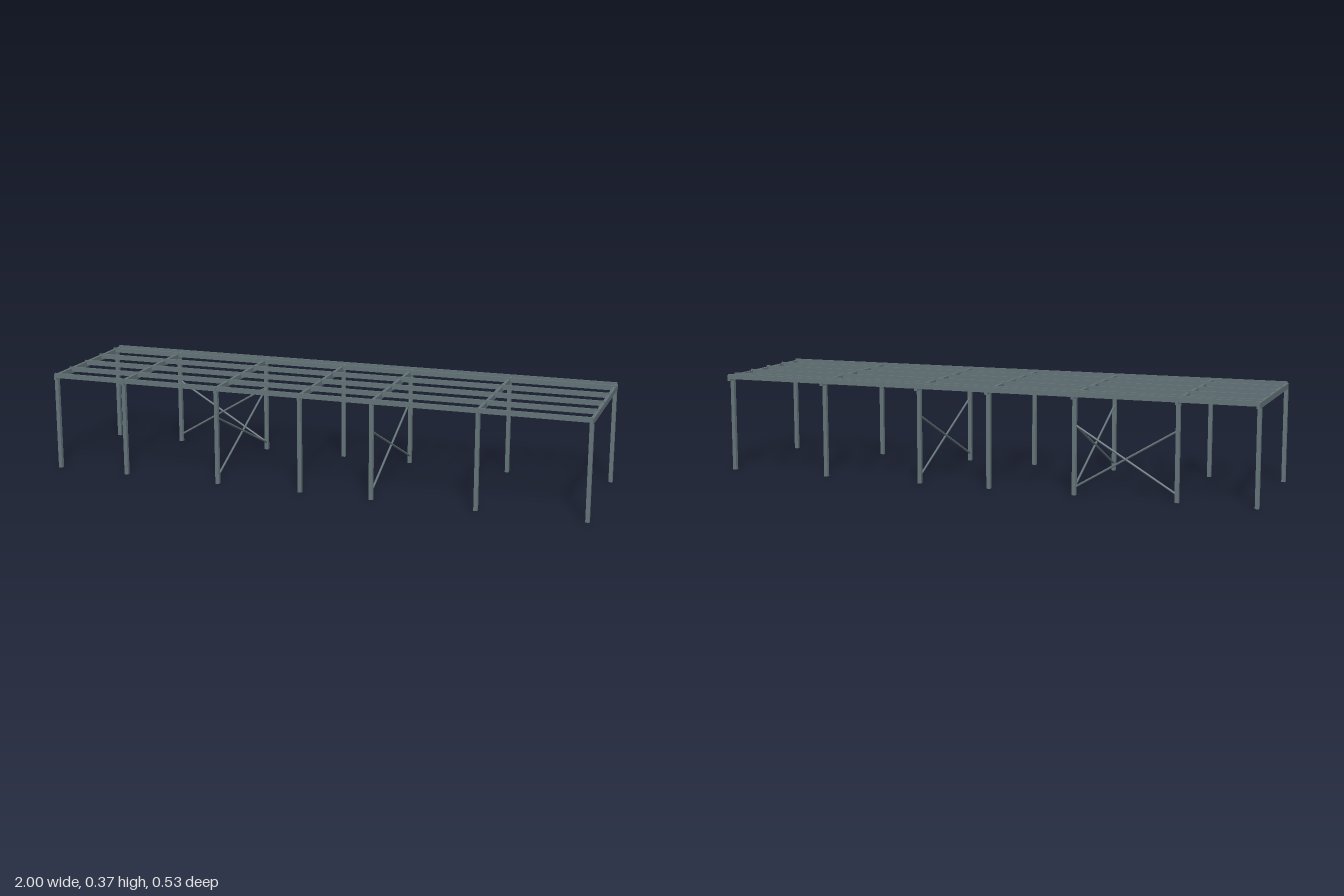
import * as THREE from 'three';

export function createModel() {
  const model = new THREE.Group();
  model.name = 'steelCanopyFrame';
  const steel = new THREE.MeshStandardMaterial({ color: 0x65757a });
  steel.name = 'slate steel';

  const frameX = [-0.993, -0.719, -0.353, -0.035, 0.231, 0.608, 0.993];
  const frontZ = 0.252, backZ = -0.235;
  const beamBottom = 0.34, beamTop = 0.36;

  function box(name, w, h, d, x, y, z) {
    const mesh = new THREE.Mesh(new THREE.BoxGeometry(w, h, d), steel);
    mesh.name = name;
    mesh.position.set(x, y, z);
    model.add(mesh);
  }

  // Round rod between two points
  function rod(name, a, b) {
    const dir = b.clone().sub(a);
    const mesh = new THREE.Mesh(new THREE.CylinderGeometry(0.004, 0.004, dir.length(), 10), steel);
    mesh.name = name;
    mesh.position.copy(a).add(b).multiplyScalar(0.5);
    mesh.quaternion.setFromUnitVectors(new THREE.Vector3(0, 1, 0), dir.normalize());
    model.add(mesh);
  }

  // Two crossing rods between the feet and shoulders of two posts
  function crossBrace(name, x1, z1, x2, z2) {
    const low = 0.027, high = 0.248;
    rod(name, new THREE.Vector3(x1, low, z1), new THREE.Vector3(x2, high, z2));
    rod(name, new THREE.Vector3(x1, high, z1), new THREE.Vector3(x2, low, z2));
  }

  // Portal frames: two posts carrying a cross beam
  for (const x of frameX) {
    for (const z of [frontZ, backZ]) box('post', 0.014, beamBottom, 0.014, x, beamBottom / 2, z);
    box('crossBeam', 0.011, beamTop - beamBottom, 0.534, x, (beamTop + beamBottom) / 2, 0);
  }

  // Purlins running the whole length, notched into the beams
  for (const z of [0.263, 0.147, 0.027, -0.094, -0.214, -0.263]) {
    box('purlin', 1.992, 0.018, 0.007, 0, 0.357, z);
  }

  // Bracing across the width and along the back
  for (const x of [frameX[2], frameX[4]]) crossBrace('widthBrace', x, frontZ, x, backZ);
  crossBrace('backBrace', frameX[1], backZ, frameX[2], backZ);

  return model;
}
